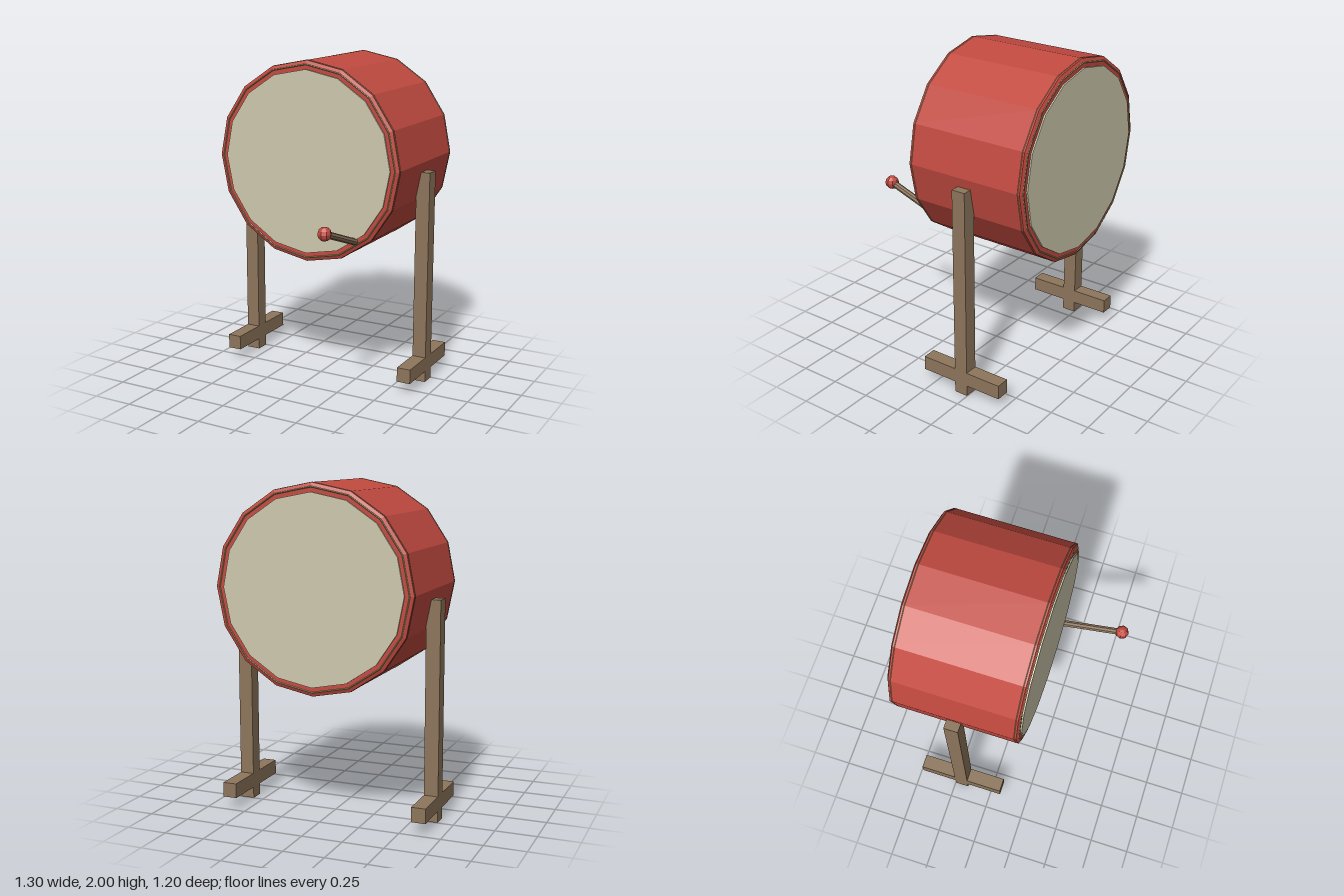
import * as THREE from 'three';

const SIDES = 16;
const CENTRE = [0, 1.39, -0.204];

function material(name, color) {
  const m = new THREE.MeshStandardMaterial({ color, flatShading: true });
  m.name = name;
  return m;
}

export function createModel() {
  const red = material('red lacquer', 0xc14a40);
  const cream = material('cream skin', 0xcdc7ac);
  const wood = material('brown wood', 0x8d755b);
  const olive = material('olive trim', 0x8f9760);

  const model = new THREE.Group();
  model.name = 'standingDrum';
  const add = (parent, name, geometry, mat, x = 0, y = 0, z = 0) => {
    const mesh = new THREE.Mesh(geometry, mat);
    mesh.name = name;
    mesh.position.set(x, y, z);
    parent.add(mesh);
    return mesh;
  };

  // Drum: sixteen-sided shell with chamfered rims, axis along z
  const drum = new THREE.Group();
  drum.name = 'drum';
  drum.position.set(...CENTRE);
  model.add(drum);
  const profile = [
    [0, -0.387], [0.59, -0.387], [0.608, -0.379], [0.608, 0.379], [0.59, 0.387], [0, 0.387],
  ].map(([r, h]) => new THREE.Vector2(r, h));
  add(drum, 'shell', new THREE.LatheGeometry(profile, SIDES).rotateX(Math.PI / 2), red);

  // Skins and thin trim rings at both ends
  for (const [end, s] of [['front', 1], ['back', -1]]) {
    const skin = new THREE.CylinderGeometry(0.555, 0.555, 0.009, SIDES).rotateX(Math.PI / 2);
    add(drum, end + 'Skin', skin, cream, 0, 0, s * 0.3915);
    add(drum, end + 'SideTrim', new THREE.TorusGeometry(0.606, 0.004, 4, SIDES), olive, 0, 0, s * 0.366);
    add(drum, end + 'FaceTrim', new THREE.TorusGeometry(0.584, 0.004, 4, SIDES), olive, 0, 0, s * 0.387);
  }

  // Stand: a post and a cross foot on each side
  for (const [side, s] of [['left', 1], ['right', -1]]) {
    const stand = new THREE.Group();
    stand.name = side + 'Stand';
    stand.position.set(s * 0.609, 0, CENTRE[2]);
    model.add(stand);
    add(stand, 'post', new THREE.BoxGeometry(0.087, 1.33, 0.087), wood, 0, 0.665, 0);
    add(stand, 'foot', new THREE.BoxGeometry(0.087, 0.09, 0.55), wood, 0, 0.115, 0);
  }

  // Beater: a sloping stick with a round head
  const beater = new THREE.Group();
  beater.name = 'beater';
  model.add(beater);
  const base = new THREE.Vector3(0.33, 0.93, 0.14);
  const tip = new THREE.Vector3(0.33, 1.08, 0.558);
  const along = tip.clone().sub(base);
  const middle = base.clone().add(tip).multiplyScalar(0.5);
  const stick = add(beater, 'stick', new THREE.CylinderGeometry(0.021, 0.021, along.length(), 8),
    wood, middle.x, middle.y, middle.z);
  stick.quaternion.setFromUnitVectors(new THREE.Vector3(0, 1, 0), along.normalize());
  add(beater, 'head', new THREE.SphereGeometry(0.042, 8, 6), red, tip.x, tip.y, tip.z);

  return model;
}
